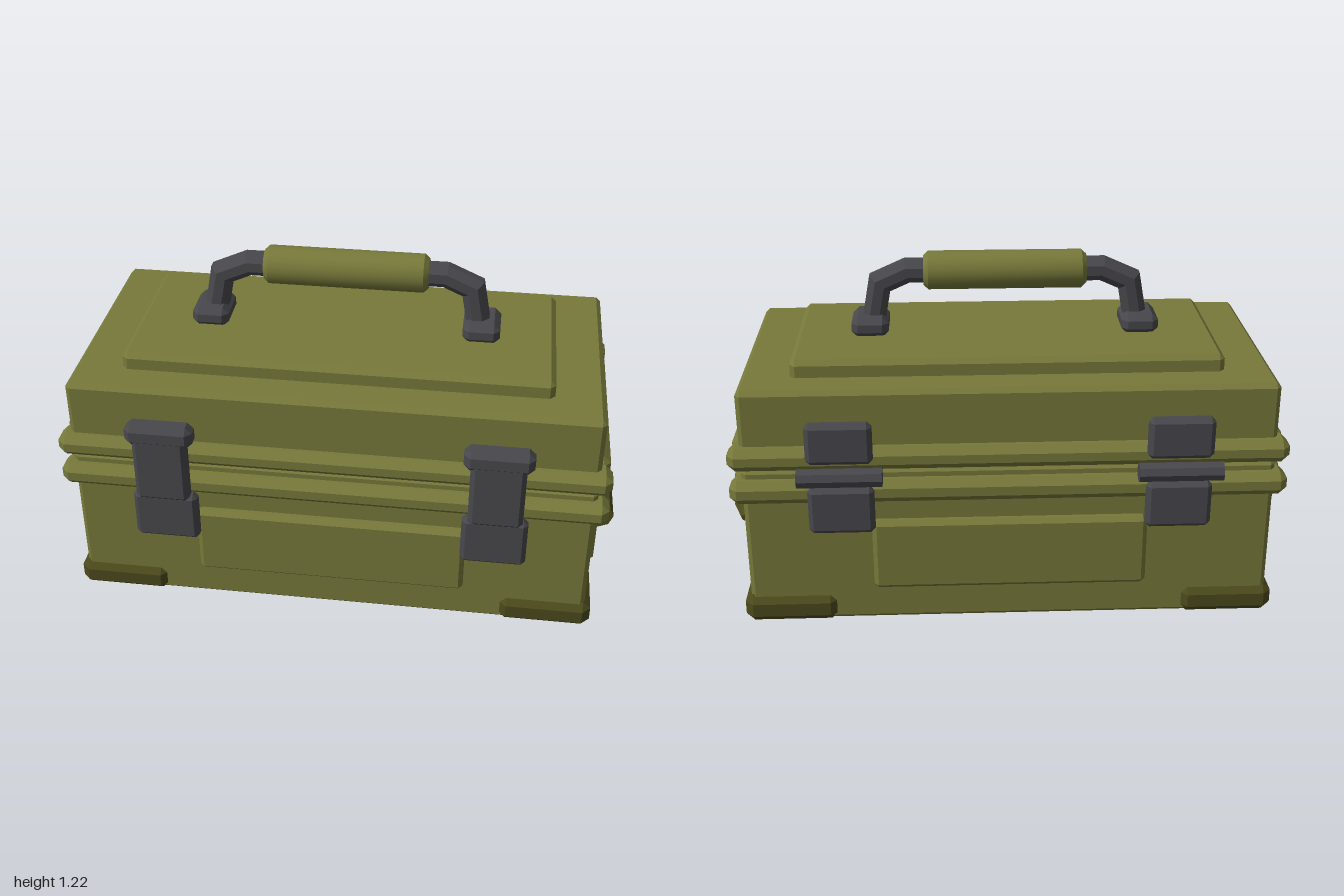
import * as THREE from 'three';
import { toCreasedNormals } from 'three/addons/utils/BufferGeometryUtils.js';
import { ConvexGeometry } from 'three/addons/geometries/ConvexGeometry.js';

const material = (name, color) => {
  const m = new THREE.MeshStandardMaterial({ color });
  m.name = name;
  return m;
};

// Box with every edge chamfered by c, given by its min and max corners
function chamferBox([x0, y0, z0], [x1, y1, z1], c) {
  const half = [(x1 - x0) / 2, (y1 - y0) / 2, (z1 - z0) / 2];
  const points = [];
  for (const sx of [-1, 1]) for (const sy of [-1, 1]) for (const sz of [-1, 1]) {
    for (let axis = 0; axis < 3; axis++) {
      const p = half.map((h, i) => (i === axis ? h : h - c));
      points.push(new THREE.Vector3(sx * p[0], sy * p[1], sz * p[2]));
    }
  }
  return new ConvexGeometry(points).translate((x0 + x1) / 2, (y0 + y1) / 2, (z0 + z1) / 2);
}

// Eight-sided bar through points in the xy plane, mitred at the bends
function mitredBar(path, radius) {
  const sides = 8, positions = [], index = [];
  path.forEach((p, i) => {
    const before = p.clone().sub(path[Math.max(i - 1, 0)]).normalize();
    const after = path[Math.min(i + 1, path.length - 1)].clone().sub(p).normalize();
    const dir = before.clone().add(after).normalize();
    const bent = before.lengthSq() > 0.5 && after.lengthSq() > 0.5;
    const stretch = bent ? 1 / dir.dot(after) : 1;
    for (let j = 0; j < sides; j++) {
      const a = ((j + 0.5) / sides) * Math.PI * 2;
      const u = Math.cos(a) * radius * stretch;
      positions.push(p.x - dir.y * u, p.y + dir.x * u, Math.sin(a) * radius);
      if (i === path.length - 1) continue;
      const k = i * sides + j, n = i * sides + ((j + 1) % sides);
      index.push(k, n, k + sides, n, n + sides, k + sides);
    }
  });
  const g = new THREE.BufferGeometry();
  g.setAttribute('position', new THREE.Float32BufferAttribute(positions, 3));
  g.setIndex(index);
  return toCreasedNormals(g, 0.1);
}

export function createModel() {
  const olive = material('olive paint', 0x77793a);
  const darkOlive = material('dark olive', 0x4b4a1c);
  const metal = material('dark grey metal', 0x48474c);

  const model = new THREE.Group();
  model.name = 'toolCase';
  const add = (name, geometry, mat) => {
    const mesh = new THREE.Mesh(geometry, mat);
    mesh.name = name;
    model.add(mesh);
    return mesh;
  };
  const box = (name, min, max, c, mat = olive) => add(name, chamferBox(min, max, c), mat);

  // Case halves and raised top panel
  box('caseBody', [-0.91, 0, -0.437], [0.91, 0.59, 0.437], 0.016);
  box('lid', [-0.91, 0.592, -0.437], [0.91, 0.873, 0.437], 0.016);
  box('lidPanel', [-0.74, 0.85, -0.312], [0.74, 0.932, 0.312], 0.018);

  // Front and back panels
  box('frontPanel', [-0.475, 0.135, 0.40], [0.475, 0.398, 0.468], 0.016);
  box('backPanel', [-0.475, 0.135, -0.468], [0.475, 0.398, -0.40], 0.016);

  // Two rings of ribs around the seam
  for (const [y0, y1] of [[0.472, 0.557], [0.595, 0.678]]) {
    for (const s of [-1, 1]) {
      const z = s * 0.421, x = s * 0.89;
      box(s > 0 ? 'frontRib' : 'backRib', [-0.95, y0, z - 0.056], [0.95, y1, z + 0.056], 0.026);
      box(s > 0 ? 'leftRib' : 'rightRib', [x - 0.056, y0, -0.365], [x + 0.056, y1, 0.365], 0.026);
    }
  }

  for (const s of [-1, 1]) {
    const side = s > 0 ? 'left' : 'right';

    // Side panel with a tapered grab bar
    box(side + 'SidePanel', [s * 0.905 - 0.032, 0.15, -0.262], [s * 0.905 + 0.032, 0.443, 0.264], 0.016);
    const grab = new THREE.LatheGeometry([
      [0, -0.168], [0.053, -0.168], [0.053, 0.105], [0.013, 0.215], [0, 0.215],
    ].map(([r, h]) => new THREE.Vector2(r, h)), 8);
    grab.rotateX(-Math.PI / 2).translate(s * 0.947, 0.295, 0);
    add(side + 'GrabBar', toCreasedNormals(grab, 0.1), darkOlive);

    // Corner guards
    for (const t of [-1, 1]) {
      const x = s * 0.768, z = t * 0.33;
      box(side + (t > 0 ? 'Front' : 'Back') + 'CornerGuard',
        [x - 0.164, 0, z - 0.128], [x + 0.164, 0.104, z + 0.128], 0.028, darkOlive);
    }

    // Front latch: capped lever over a lower catch
    const x = s * 0.571;
    box(side + 'LatchLever', [x - 0.093, 0.485, 0.478], [x + 0.093, 0.77, 0.537], 0.016, metal);
    box(side + 'LatchCap', [x - 0.117, 0.705, 0.462], [x + 0.117, 0.787, 0.54], 0.022, metal);
    box(side + 'LatchCatch', [x - 0.113, 0.305, 0.46], [x + 0.113, 0.493, 0.512], 0.016, metal);

    // Back hinge: two leaves and a pin
    const hx = s * 0.572;
    box(side + 'HingeUpperLeaf', [hx - 0.112, 0.632, -0.505], [hx + 0.112, 0.78, -0.457], 0.016, metal);
    box(side + 'HingeLowerLeaf', [hx - 0.112, 0.375, -0.505], [hx + 0.112, 0.545, -0.457], 0.016, metal);
    const pin = new THREE.CylinderGeometry(0.034, 0.034, 0.285, 8);
    pin.rotateZ(Math.PI / 2).translate(hx, 0.59, -0.505);
    add(side + 'HingePin', toCreasedNormals(pin, 0.1), metal);

    // Handle mount
    box(side + 'HandleMount', [s * 0.478 - 0.065, 0.925, -0.085], [s * 0.478 + 0.065, 0.998, 0.085], 0.022, metal);
  }

  // Carrying handle bar and its grip
  const half = [[0.468, 0.96], [0.441, 1.107], [0.345, 1.15]];
  const path = [...half.map(([x, y]) => [-x, y]), ...half.reverse()];
  add('handleBar', mitredBar(path.map(([x, y]) => new THREE.Vector2(x, y)), 0.044), metal);
  const grip = new THREE.LatheGeometry([
    [0, -0.287], [0.052, -0.287], [0.068, -0.27], [0.068, 0.27], [0.052, 0.287], [0, 0.287],
  ].map(([r, h]) => new THREE.Vector2(r, h)), 20);
  grip.rotateZ(Math.PI / 2).translate(0, 1.15, 0);
  add('handleGrip', toCreasedNormals(grip, 0.5), olive);

  return model;
}
